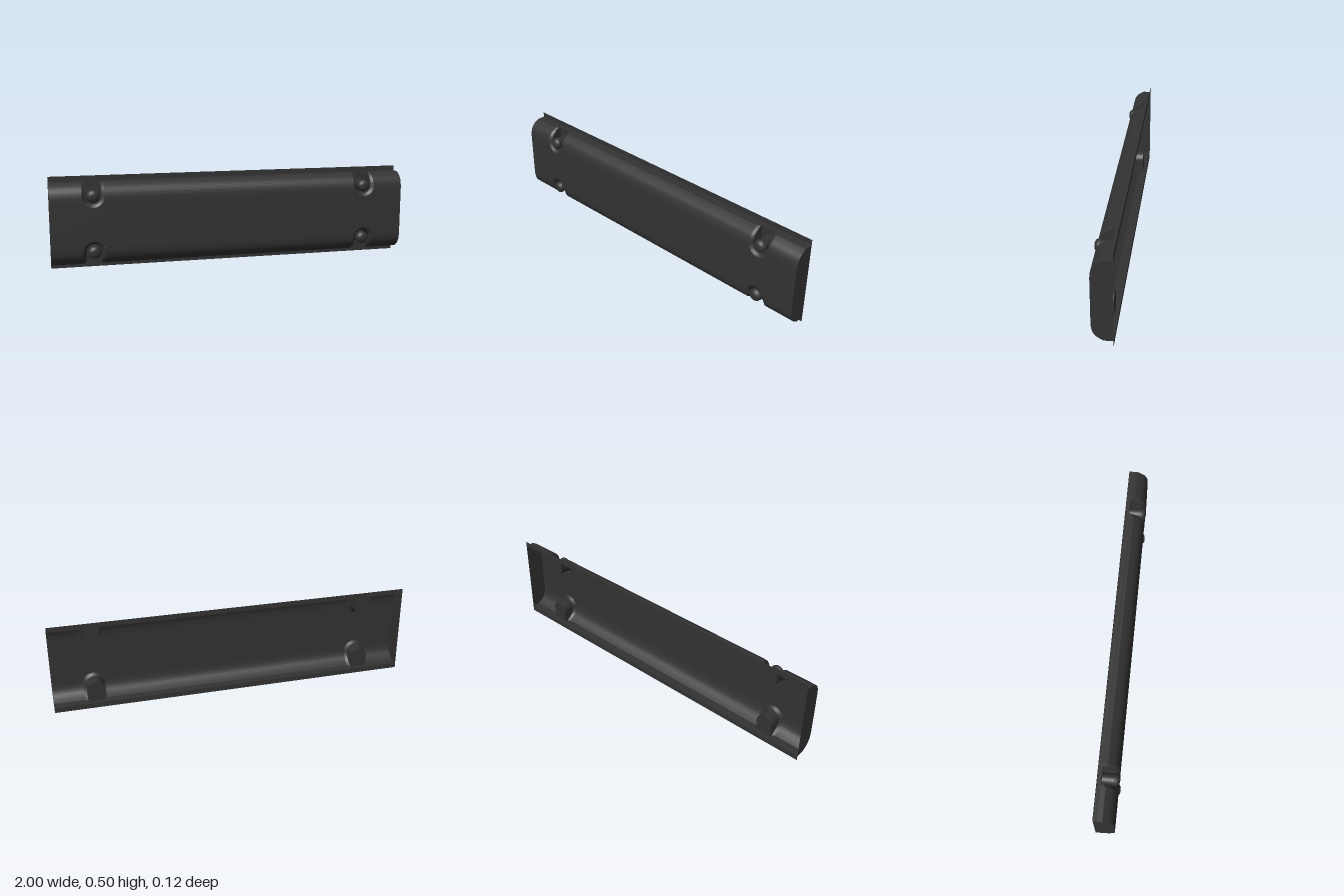
import * as THREE from 'three';

const MID = 0.2515, HALF = 0.2225, BACK = -0.057, FLOOR = -0.035;
const BOLT_X = 0.77, BOLT_D = 0.152, R_OUT = 0.06, R_IN = 0.045;
// Upper half of the hull section: [distance from middle height, z]
const SECTION = [[0, 0.05], [0.125, 0.05], [0.15, 0.0485], [0.17, 0.044], [0.187, 0.036],
  [0.201, 0.024], [0.213, 0.008], [HALF, -0.01]];

const material = new THREE.MeshStandardMaterial({ color: 0x333333, side: THREE.DoubleSide });

// Depth of the hull's outer surface at a distance from its middle height
function hullZ(d) {
  d = Math.min(Math.abs(d), HALF);
  for (let i = 1; i < SECTION.length; i++) {
    const [d0, z0] = SECTION[i - 1], [d1, z1] = SECTION[i];
    if (d <= d1) return z0 + (z1 - z0) * (d - d0) / (d1 - d0);
  }
  return SECTION[SECTION.length - 1][1];
}

// Smooth sheet through point(u, v), u and v from 0 to 1
function sheet(name, nu, nv, point) {
  const pos = [], index = [];
  for (let i = 0; i <= nu; i++) for (let j = 0; j <= nv; j++) {
    pos.push(...point(i / nu, j / nv));
    if (i < nu && j < nv) {
      const a = i * (nv + 1) + j, b = a + nv + 1;
      index.push(a, b, a + 1, b, b + 1, a + 1);
    }
  }
  const g = new THREE.BufferGeometry();
  g.setAttribute('position', new THREE.Float32BufferAttribute(pos, 3));
  g.setIndex(index);
  g.computeVertexNormals();
  const mesh = new THREE.Mesh(g, material);
  mesh.name = name;
  return mesh;
}

// Skin between x0 and x1, reaching limit(x) above and below the middle
function skin(x0, x1, nx, limit) {
  return sheet('hullSkin', nx, 64, (u, v) => {
    const x = x0 + (x1 - x0) * u, d = (v * 2 - 1) * limit(x);
    return [x, MID + d, hullZ(d)];
  });
}

// Point on a U outline of radius r: leg, half circle, leg; t from 0 to 1
function uPoint(t, r) {
  if (t < 0.25) return [-r, HALF + (BOLT_D - HALF) * t * 4];
  if (t > 0.75) return [r, BOLT_D + (HALF - BOLT_D) * (t - 0.75) * 4];
  const a = Math.PI * (1 + (t - 0.25) * 2);
  return [r * Math.cos(a), BOLT_D + r * Math.sin(a)];
}

// Open-ended recess with a sloped rim, straight wall, floor and bolt
function pocket(x, side) {
  const group = new THREE.Group();
  group.name = 'boltPocket';
  const at = (dx, d, z) => [x + dx, MID + side * d, z];
  const rim = (t) => {
    const [, d] = uPoint(t, R_OUT);
    return hullZ(d) - 0.012;
  };
  group.add(sheet('pocketRim', 48, 1, (t, v) => {
    const [dx, d] = uPoint(t, R_OUT + (R_IN - R_OUT) * v);
    return at(dx, d, v ? rim(t) : hullZ(d));
  }));
  group.add(sheet('pocketWall', 48, 1, (t, v) => {
    const [dx, d] = uPoint(t, R_IN);
    return at(dx, d, v ? FLOOR : rim(t));
  }));
  group.add(sheet('pocketFloor', 48, 1, (t, v) => {
    const [dx, d] = uPoint(t, R_IN);
    return at(dx, v ? HALF : d, FLOOR);
  }));
  // Small edge pieces beside the open end
  for (const s of [-1, 1]) {
    group.add(sheet('pocketLip', 1, 1, (u, v) =>
      at(s * (R_OUT + (R_IN - R_OUT) * u), HALF, v ? FLOOR : -0.01 - 0.012 * u)));
  }
  const outline = [[0.03, 0], [0.03, 0.06], [0.035, 0.064], [0.035, 0.072],
    [0.032, 0.08], [0.027, 0.086], [0.02, 0.091], [0.012, 0.093], [0, 0.093]]
    .map(([r, h]) => new THREE.Vector2(r, h));
  const bolt = new THREE.Mesh(new THREE.LatheGeometry(outline, 28), material);
  bolt.name = 'bolt';
  bolt.rotation.x = Math.PI / 2;
  bolt.position.set(x, MID + side * BOLT_D, FLOOR);
  group.add(bolt);
  return group;
}

export function createModel() {
  const model = new THREE.Group();
  model.name = 'hollowPanel';

  // Hull skin: plain spans and the spans cut by pockets
  const full = () => HALF;
  const inner = BOLT_X - R_OUT, outer = BOLT_X + R_OUT;
  model.add(skin(-inner, inner, 1, full));
  for (const s of [-1, 1]) {
    model.add(skin(s * outer, s, 1, full));
    // Columns spaced by angle follow the pocket's round end
    model.add(sheet('cutSkin', 32, 64, (u, v) => {
      const a = Math.PI * u;
      const d = (v * 2 - 1) * (BOLT_D - R_OUT * Math.sin(a));
      return [s * BOLT_X - R_OUT * Math.cos(a), MID + d, hullZ(d)];
    }));
    for (const side of [-1, 1]) model.add(pocket(s * BOLT_X, side));
  }

  // Long edges and thin back flanges
  for (const side of [-1, 1]) {
    const y = MID + side * HALF;
    model.add(sheet('edgeBack', 1, 1, (u, v) => [u * 2 - 1, y, v ? BACK : FLOOR]));
    for (const [x0, x1] of [[-1, -outer], [-inner, inner], [outer, 1]]) {
      model.add(sheet('edgeFront', 1, 1, (u, v) => [x0 + (x1 - x0) * u, y, v ? FLOOR : -0.01]));
    }
    model.add(sheet('backFlange', 1, 1, (u, v) =>
      [u * 2 - 1, v ? y : MID + side * MID, BACK]));
  }

  // Flat end walls
  for (const s of [-1, 1]) {
    model.add(sheet('endWall', 64, 1, (u, v) => {
      const d = (u * 2 - 1) * HALF;
      return [s, MID + d, v ? hullZ(d) : BACK];
    }));
  }
  return model;
}
